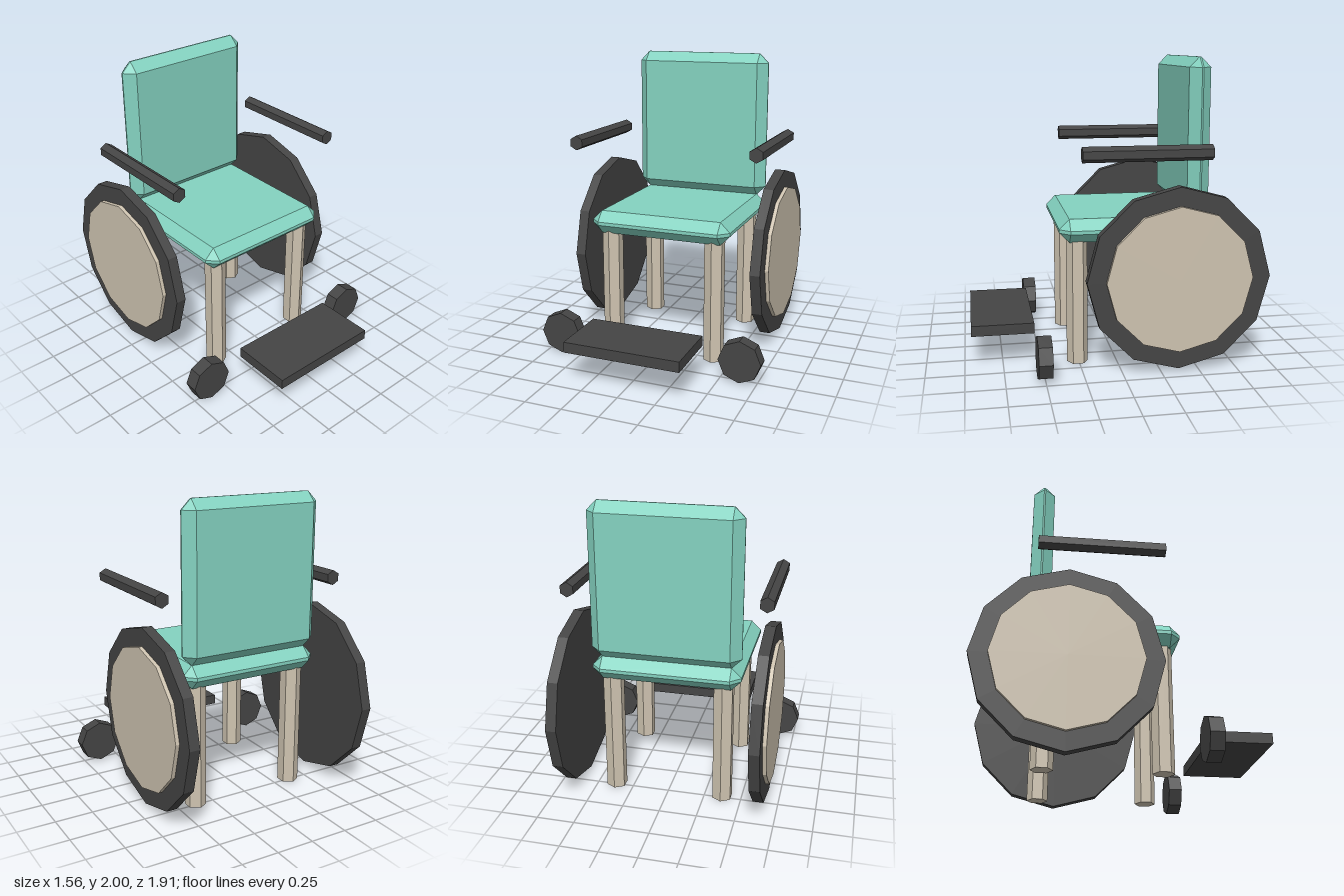
import * as THREE from 'three';
import { ConvexGeometry } from 'three/addons/geometries/ConvexGeometry.js';

const flat = (name, color) => {
  const m = new THREE.MeshStandardMaterial({ color });
  m.name = name;
  return m;
};

// Box with every edge cut by a single flat chamfer
function chamferBox(w, h, d, c) {
  const x = w / 2, y = h / 2, z = d / 2, pts = [];
  for (const sx of [-1, 1]) for (const sy of [-1, 1]) for (const sz of [-1, 1]) {
    pts.push(
      new THREE.Vector3(sx * x, sy * (y - c), sz * (z - c)),
      new THREE.Vector3(sx * (x - c), sy * y, sz * (z - c)),
      new THREE.Vector3(sx * (x - c), sy * (y - c), sz * z),
    );
  }
  return new ConvexGeometry(pts);
}

// Faceted cylinder laid along the chosen axis
function prism(radius, length, sides, axis = 'y') {
  const g = new THREE.CylinderGeometry(radius, radius, length, sides);
  if (axis === 'x') g.rotateZ(Math.PI / 2);
  if (axis === 'z') g.rotateX(Math.PI / 2);
  const faceted = g.toNonIndexed();
  faceted.computeVertexNormals();
  return faceted;
}

export function createModel() {
  const model = new THREE.Group();
  model.name = 'wheelchair';
  const teal = flat('teal upholstery', 0x84d2c0);
  const beige = flat('beige frame', 0xcec3b0);
  const dark = flat('dark rubber', 0x454545);

  const add = (name, geometry, material, x, y, z) => {
    const mesh = new THREE.Mesh(geometry, material);
    mesh.name = name;
    mesh.position.set(x, y, z);
    model.add(mesh);
  };

  // Cushions
  add('seat', chamferBox(0.98, 0.155, 0.982, 0.066), teal, 0, 0.902, -0.115);
  add('backrest', chamferBox(0.98, 1.025, 0.142, 0.066), teal, 0, 1.4875, -0.534);

  // Footplate
  add('footplate', new THREE.BoxGeometry(0.78, 0.07, 0.41), dark, 0, 0.25, 0.748);

  const leg = prism(0.07, 0.86, 6);
  const wheel = prism(0.594, 0.07, 12, 'x');
  const hub = prism(0.473, 0.07, 12, 'x');
  const caster = prism(0.143, 0.09, 8, 'z');
  const armrest = prism(0.05, 0.82, 6, 'z');

  // Paired parts on the left (+x) and right (-x)
  for (const [side, s] of [['left', 1], ['right', -1]]) {
    add(`${side}FrontLeg`, leg, beige, s * 0.37, 0.43, 0.258);
    add(`${side}BackLeg`, leg, beige, s * 0.37, 0.43, -0.482);
    add(`${side}Wheel`, wheel, dark, s * 0.638, 0.618, -0.36);
    add(`${side}WheelDisc`, hub, beige, s * 0.663, 0.618, -0.36);
    add(`${side}Caster`, caster, dark, s * 0.638, 0.145, 0.503);
    add(`${side}Armrest`, armrest, dark, s * 0.636, 1.42, -0.154);
  }
  return model;
}
